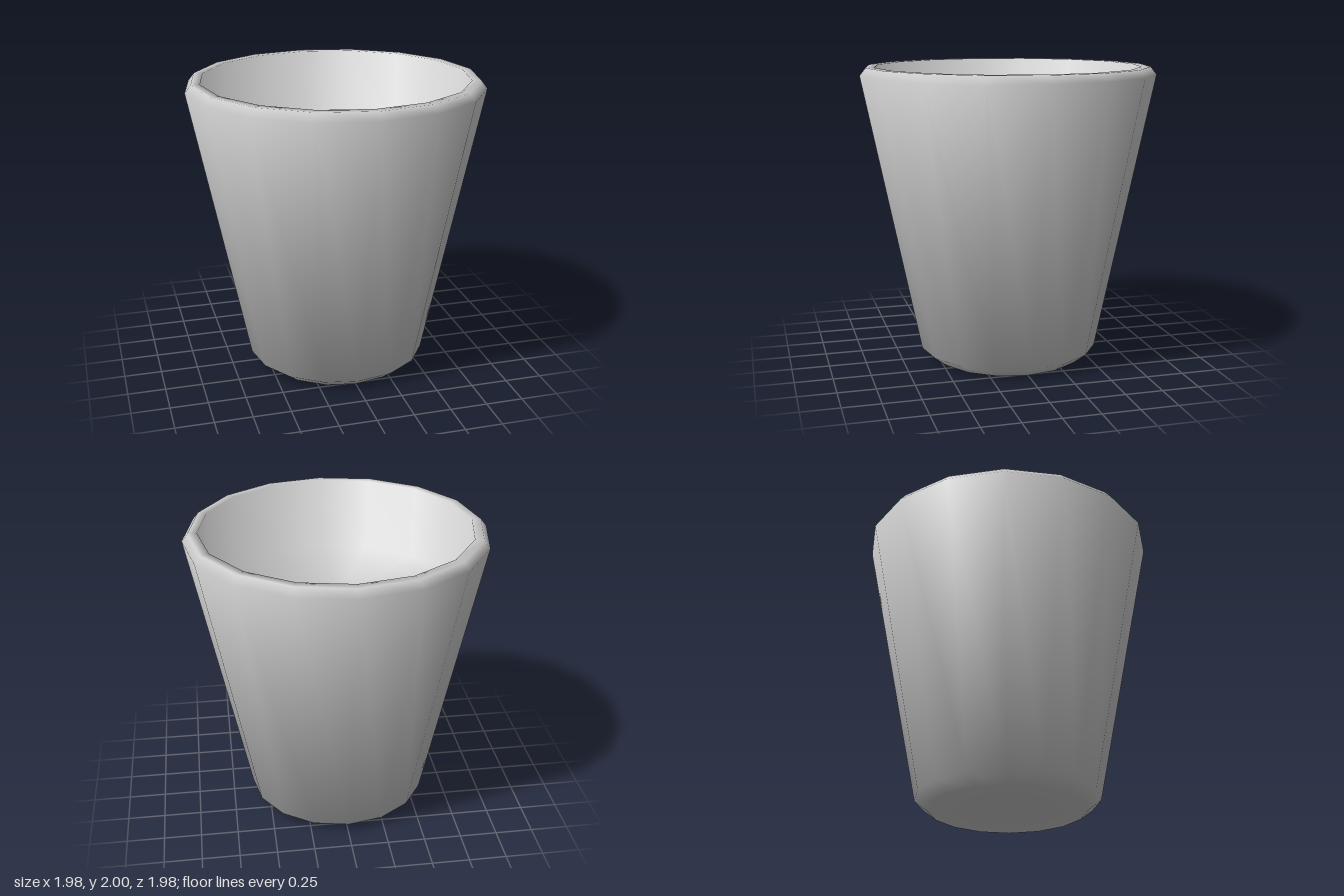
import * as THREE from 'three';

// Revolved surface whose normals blend neighbouring faces equally
function smoothLathe(profile, sides) {
  const points = profile.map(([r, y]) => new THREE.Vector2(r, y));
  const faceNormals = points.slice(1).map((p, i) =>
    new THREE.Vector2(p.y - points[i].y, points[i].x - p.x).normalize());
  const last = faceNormals.length - 1;
  const blended = points.map((_, i) =>
    faceNormals[Math.max(i - 1, 0)].clone().add(faceNormals[Math.min(i, last)]).normalize());

  const geometry = new THREE.LatheGeometry(points, sides);
  const normal = geometry.attributes.normal;
  for (let s = 0; s <= sides; s++) {
    const angle = (s / sides) * Math.PI * 2;
    blended.forEach((n, i) => normal.setXYZ(
      s * points.length + i, n.x * Math.sin(angle), n.y, n.x * Math.cos(angle)));
  }
  return geometry;
}

export function createModel() {
  const group = new THREE.Group();
  group.name = 'cup';

  // Underside, chamfered foot, tapered wall, bevelled rim, straight recess and its floor
  const profile = [
    [0, 0], [0.52, 0], [0.61, 0.07],
    [0.99, 1.95], [0.95, 2], [0.89, 2],
    [0.89, 1.5], [0, 1.5],
  ];

  const body = new THREE.Mesh(
    smoothLathe(profile, 16),
    new THREE.MeshStandardMaterial({ color: 0xcccccc })
  );
  body.name = 'cupBody';
  group.add(body);
  return group;
}
